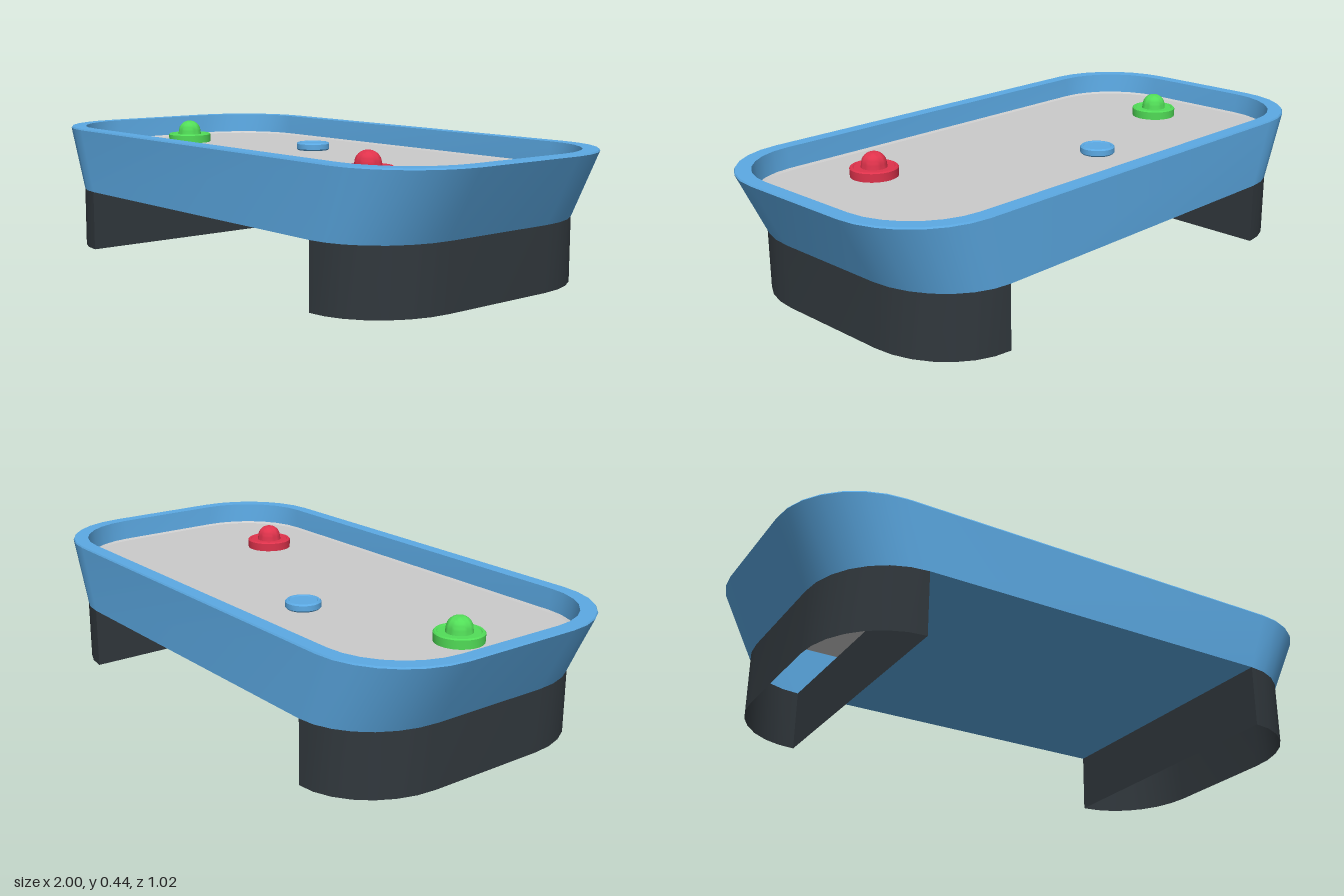
import * as THREE from 'three';
import { toCreasedNormals } from 'three/addons/utils/BufferGeometryUtils.js';

const BLUE = 0x5caae4, DARK = 0x31383d, RED = 0xe0334c, GREEN = 0x52de58;
const FIELD_Y = 0.36, LEG_TOP = 0.212;

// Thin, open surfaces throughout, so every part shows from both sides
function mesh(name, geometry, color = 0xcccccc) {
  const m = new THREE.Mesh(geometry, new THREE.MeshStandardMaterial({ color, side: THREE.DoubleSide }));
  m.name = name;
  return m;
}

// Rounded rectangle outline, counter-clockwise seen from above, as [x, z]
function outline(hx, hz, rx, rz, steps = 7) {
  const pts = [];
  const corners = [[1, -1], [-1, -1], [-1, 1], [1, 1]];
  corners.forEach(([sx, sz], c) => {
    for (let i = 0; i <= steps; i++) {
      const a = (c + i / steps) * Math.PI / 2;
      pts.push([sx * (hx - rx) + rx * Math.cos(a), sz * (hz - rz) - rz * Math.sin(a)]);
    }
  });
  return pts;
}

// Skin over a stack of closed outlines: [{ y, pts }]
function loft(rings) {
  const n = rings[0].pts.length, pos = [], idx = [];
  rings.forEach(({ y, pts }) => pts.forEach(([x, z]) => pos.push(x, y, z)));
  for (let k = 0; k < rings.length - 1; k++) {
    for (let j = 0; j < n; j++) {
      const a = k * n + j, b = k * n + (j + 1) % n;
      idx.push(a, b, b + n, a, b + n, a + n);
    }
  }
  const g = new THREE.BufferGeometry();
  g.setAttribute('position', new THREE.Float32BufferAttribute(pos, 3));
  g.setIndex(idx);
  return toCreasedNormals(g, 0.5);
}

function lathe(points, segments = 32) {
  const g = new THREE.LatheGeometry(points.map(([r, y]) => new THREE.Vector2(r, y)), segments);
  return toCreasedNormals(g, 0.5);
}

function createStriker(name, color, x, z) {
  // Disc with a slim raised lip, shallow dish and a domed knob
  const profile = [[0, 0], [0.08, 0], [0.081, 0.03], [0.077, 0.034], [0.07, 0.034],
    [0.067, 0.031], [0.044, 0.031], [0.042, 0.044]];
  for (let i = 1; i <= 8; i++) {
    const a = i / 8 * Math.PI / 2;
    profile.push([0.042 * Math.cos(a), 0.044 + 0.039 * Math.sin(a)]);
  }
  const m = mesh(name, lathe(profile), color);
  m.position.set(x, FIELD_Y - 0.001, z);
  return m;
}

export function createModel() {
  const model = new THREE.Group();
  model.name = 'airHockeyTable';

  // Flared body wall, rounded top rim and inner wall
  const inner = outline(0.945, 0.455, 0.26, 0.26);
  model.add(mesh('body', loft([
    { y: LEG_TOP, pts: outline(0.885, 0.51, 0.265, 0.3) },
    { y: 0.432, pts: outline(0.998, 0.51, 0.3, 0.3) },
    { y: 0.437, pts: outline(0.995, 0.507, 0.297, 0.297) },
    { y: 0.437, pts: outline(0.95, 0.46, 0.263, 0.263) },
    { y: FIELD_Y + 0.006, pts: inner },
  ]), BLUE));

  // Underside panel between the legs
  const underside = mesh('underside', new THREE.PlaneGeometry(1.24, 1.02).rotateX(Math.PI / 2), BLUE);
  underside.position.y = LEG_TOP;
  model.add(underside);

  // Playing field with a small bevelled edge
  const edge = outline(0.937, 0.447, 0.255, 0.255);
  model.add(mesh('fieldEdge', loft([
    { y: FIELD_Y + 0.006, pts: inner },
    { y: FIELD_Y, pts: edge },
  ])));
  const shape = new THREE.Shape(edge.map(([x, z]) => new THREE.Vector2(x, -z)));
  const field = mesh('playingField', new THREE.ShapeGeometry(shape).rotateX(-Math.PI / 2));
  field.position.y = FIELD_Y;
  model.add(field);

  // Hollow D-shaped legs, open at the bottom
  const legPts = outline(0.885, 0.51, 0.265, 0.3).filter(([x]) => x > 0.6);
  for (const side of [1, -1]) {
    const leg = mesh(side > 0 ? 'leftLeg' : 'rightLeg',
      loft([{ y: 0, pts: legPts }, { y: LEG_TOP, pts: legPts }]), DARK);
    if (side < 0) leg.rotation.y = Math.PI;
    model.add(leg);
  }

  // Strikers and puck
  model.add(createStriker('redStriker', RED, 0.53, 0.205));
  model.add(createStriker('greenStriker', GREEN, -0.715, 0.025));
  const puck = mesh('puck', lathe([[0, 0], [0.055, 0], [0.06, 0.005], [0.06, 0.023],
    [0.055, 0.028], [0.049, 0.028], [0.046, 0.025], [0, 0.025]]), BLUE);
  puck.position.set(-0.17, FIELD_Y, -0.155);
  model.add(puck);

  return model;
}
